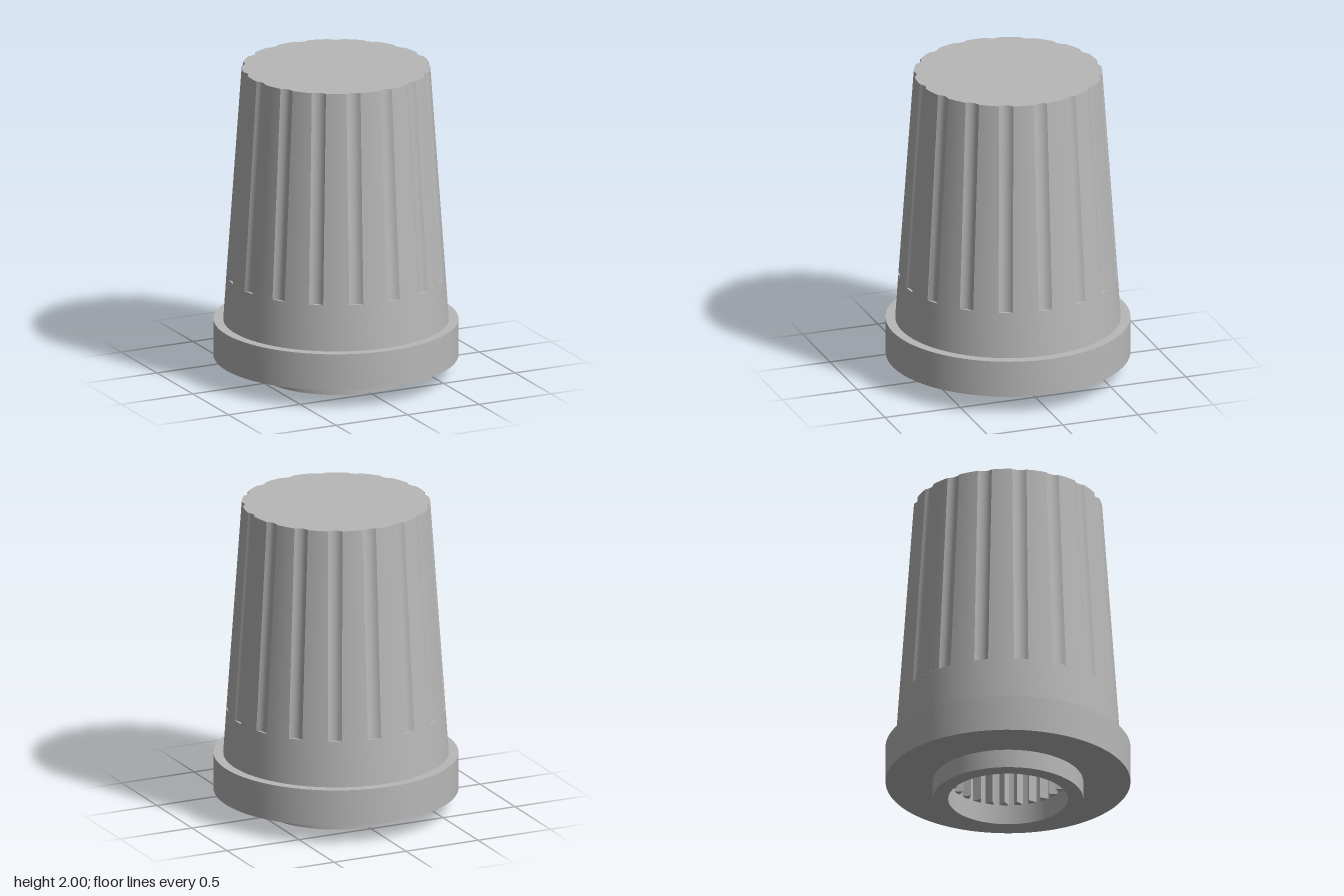
import * as THREE from 'three';
import { toCreasedNormals } from 'three/addons/utils/BufferGeometryUtils.js';

const GROOVES = 17, TEETH = 26;
const GRIP_BOTTOM = 0.65, GRIP_TOP = 2;

// Outline of the grooved grip: shallow scoops of constant width around a circle
function gripOutline(radius) {
  const half = 0.045, depth = 0.017, pts = [];
  const step = (Math.PI * 2) / GROOVES, edge = Math.asin(half / radius);
  for (let k = 0; k < GROOVES; k++) {
    const a = k * step;
    for (let i = 0; i <= 8; i++) {
      const t = i / 4 - 1, u = half * t;
      const r = Math.sqrt(radius * radius - u * u) - depth * (1 - t * t);
      pts.push(new THREE.Vector2(r * Math.cos(a) - u * Math.sin(a), r * Math.sin(a) + u * Math.cos(a)));
    }
    for (let i = 1; i < 5; i++) {
      const b = a + edge + ((step - 2 * edge) * i) / 5;
      pts.push(new THREE.Vector2(radius * Math.cos(b), radius * Math.sin(b)));
    }
  }
  return pts;
}

// Side wall joining two outlines of equal point count
function loftWall(lower, y0, upper, y1) {
  const pos = [], n = lower.length;
  for (let i = 0; i < n; i++) {
    const j = (i + 1) % n;
    const a = [lower[i].x, y0, -lower[i].y], b = [lower[j].x, y0, -lower[j].y];
    const c = [upper[j].x, y1, -upper[j].y], d = [upper[i].x, y1, -upper[i].y];
    pos.push(...a, ...b, ...c, ...a, ...c, ...d);
  }
  const g = new THREE.BufferGeometry();
  g.setAttribute('position', new THREE.Float32BufferAttribute(pos, 3));
  return toCreasedNormals(g, 0.4);
}

export function createModel() {
  const group = new THREE.Group();
  const grey = new THREE.MeshStandardMaterial({ color: 0xb8b8b8 });
  grey.name = 'grey plastic';
  const add = (name, geometry, parent = group) => {
    const mesh = new THREE.Mesh(geometry, grey);
    mesh.name = name;
    parent.add(mesh);
    return mesh;
  };

  // Shaft bore, neck, collar and smooth skirt in one turned profile
  const profile = [
    [0, 1.2], [0.374, 1.2], [0.374, 0], [0.47, 0], [0.47, 0.12], [0.765, 0.12],
    [0.765, 0.355], [0.704, 0.355], [0.684, GRIP_BOTTOM], [0.6, GRIP_BOTTOM],
  ].map(([x, y]) => new THREE.Vector2(x, y));
  add('collarAndSkirt', toCreasedNormals(new THREE.LatheGeometry(profile, 96), 0.5));

  // Tapered grip with scooped grooves
  const top = gripOutline(0.589);
  add('groovedGrip', loftWall(gripOutline(0.684), GRIP_BOTTOM, top, GRIP_TOP));

  // Flat top
  const cap = new THREE.ShapeGeometry(new THREE.Shape(top));
  cap.rotateX(-Math.PI / 2).translate(0, GRIP_TOP, 0);
  add('topFace', cap);

  // Pointed splines inside the bore
  const splines = new THREE.Group();
  splines.name = 'boreSplines';
  group.add(splines);
  const tooth = new THREE.ExtrudeGeometry(new THREE.Shape([
    new THREE.Vector2(0.375, -0.03), new THREE.Vector2(0.375, 0.03), new THREE.Vector2(0.325, 0),
  ]), { depth: 1.07, bevelEnabled: false });
  tooth.rotateX(-Math.PI / 2).translate(0, 0.13, 0);
  for (let i = 0; i < TEETH; i++) {
    add('spline', tooth, splines).rotation.y = (i * Math.PI * 2) / TEETH;
  }
  return group;
}
